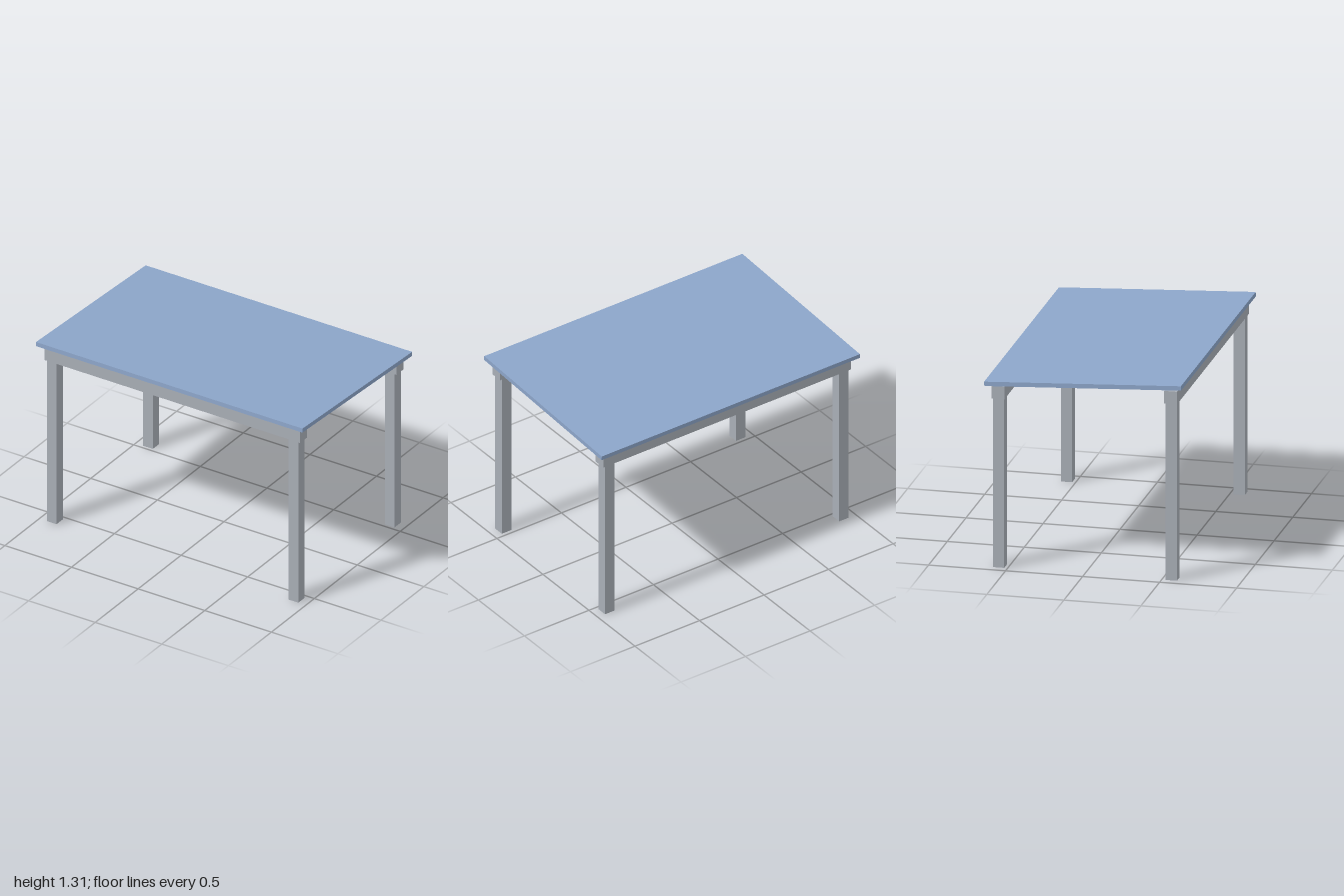
import * as THREE from 'three';

export function createModel() {
  const model = new THREE.Group();
  const steel = new THREE.MeshStandardMaterial({ color: 0xa8aeb6 });
  steel.name = 'grey steel';
  const panelBlue = new THREE.MeshStandardMaterial({ color: 0x8ca5c9 });
  panelBlue.name = 'panel blue';

  const addBox = (name, material, size, position) => {
    const mesh = new THREE.Mesh(new THREE.BoxGeometry(...size), material);
    mesh.name = name;
    mesh.position.set(...position);
    model.add(mesh);
    return mesh;
  };

  // Front and back frames: two posts carrying a long beam; the back one is lower
  const beam = 0.083, post = 0.073;
  const frames = [
    { side: 'front', z: 0.562, height: 1.174 },
    { side: 'back', z: -0.559, height: 1.122 },
  ];
  for (const { side, z, height } of frames) {
    addBox(`${side}Beam`, steel, [1.92, beam, beam], [0, height + beam / 2, z]);
    for (const s of [-1, 1]) {
      addBox(`${side}${s > 0 ? 'Left' : 'Right'}Post`, steel,
        [post, height, post], [s * 0.907, height / 2, z]);
    }
  }

  // Flat roof panel, sloping down towards the back
  const roof = addBox('roofPanel', panelBlue, [2, 0.029, 1.279], [0, 1.2615, 0]);
  roof.rotation.x = -THREE.MathUtils.degToRad(2.96);

  return model;
}
